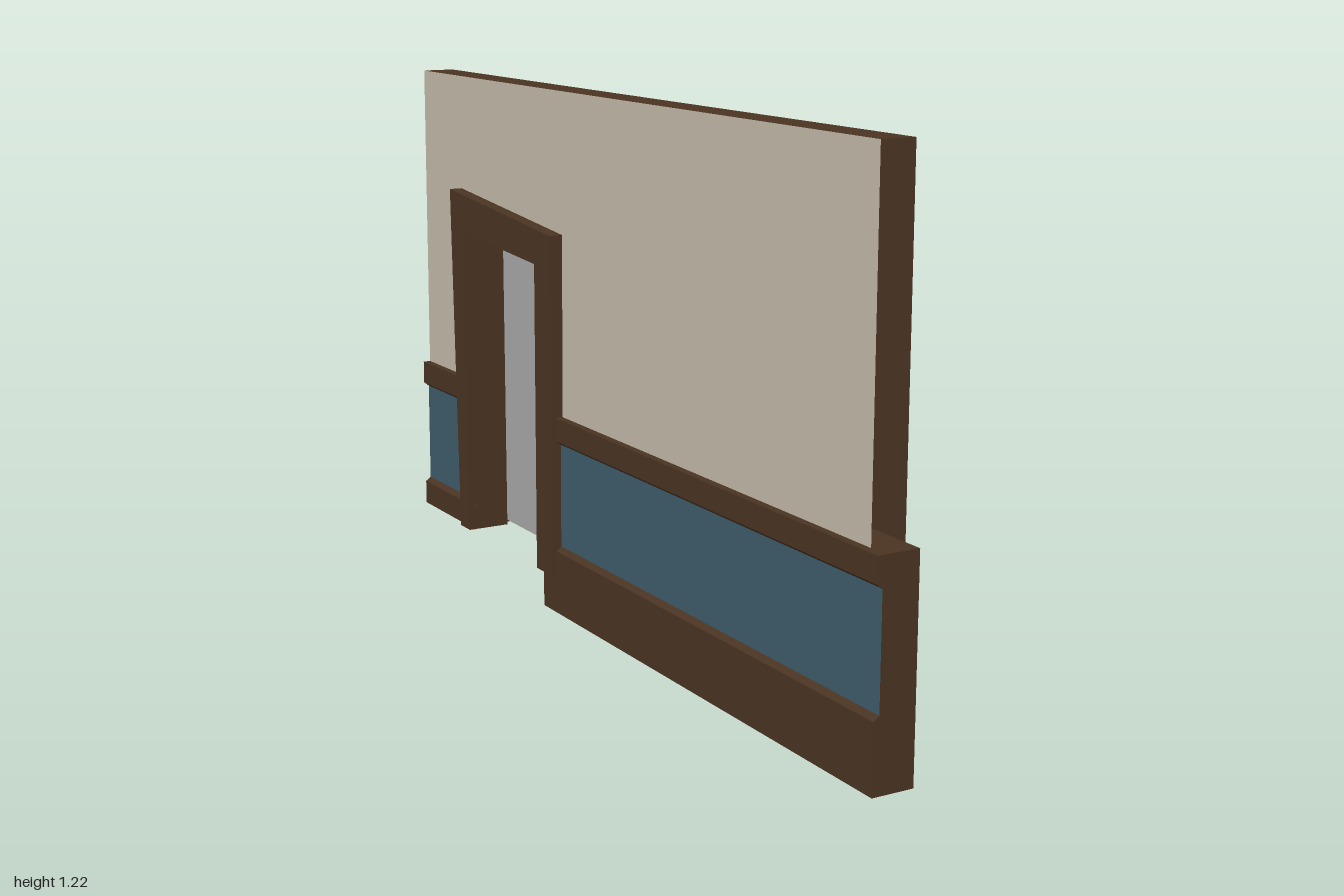
import * as THREE from 'three';

const mat = (name, color) => {
  const m = new THREE.MeshStandardMaterial({ color, side: THREE.DoubleSide });
  m.name = name;
  return m;
};

export function createModel() {
  const group = new THREE.Group();
  const wood = mat('dark brown wood', 0x4a3423);
  const plaster = mat('cream plaster', 0xc5bba9);
  const teal = mat('teal panel', 0x3e5d6b);
  const steel = mat('door grey', 0xa9a9a9);

  const add = (name, geo, material) => {
    const m = new THREE.Mesh(geo, material);
    m.name = name;
    group.add(m);
    return m;
  };
  // outlines are [z, y] pairs lying across the x axis
  const path = (pts) => pts.map(([z, y]) => new THREE.Vector2(-z, y));
  const slab = (name, pts, x0, x1, material, hole) => {
    const shape = new THREE.Shape(path(pts));
    if (hole) shape.holes.push(new THREE.Path(path(hole)));
    const geo = x1 > x0
      ? new THREE.ExtrudeGeometry(shape, { depth: x1 - x0, bevelEnabled: false })
      : new THREE.ShapeGeometry(shape);
    return add(name, geo.rotateY(Math.PI / 2).translate(x0, 0, 0), material);
  };
  // open [x, y] profile swept along z
  const sweep = (name, profile, z0, z1, material) => {
    const pos = [];
    for (let i = 0; i < profile.length - 1; i++) {
      const [ax, ay] = profile[i], [bx, by] = profile[i + 1];
      pos.push(ax, ay, z0, bx, by, z0, bx, by, z1, ax, ay, z0, bx, by, z1, ax, ay, z1);
    }
    const geo = new THREE.BufferGeometry();
    geo.setAttribute('position', new THREE.Float32BufferAttribute(pos, 3));
    geo.computeVertexNormals();
    return add(name, geo, material);
  };

  // wall faces with the doorway cut out, open at both ends
  const wallOutline = (bottom) => [
    [1, bottom], [-0.28, bottom], [-0.28, 0.875], [-0.755, 0.915], [-0.74, bottom],
    [-1, bottom], [-1, 1.22], [0.955, 1.22], [0.955, 0.47], [1, 0.47],
  ];
  slab('outerWall', wallOutline(0.092), 0.035, 0.035, wood);
  slab('innerWall', wallOutline(0.1), -0.043, -0.043, plaster);
  sweep('wallTop', [[-0.043, 1.22], [0.035, 1.22]], 0.955, -1, wood);

  // chair rail, panel and baseboard on each side of the doorway
  for (const [z0, z1, zBase, floor] of [[-0.28, 1, -0.326, 0], [-1, -0.74, -0.703, 0.092]]) {
    const front = z1 === 1;
    sweep('chairRail', [[0.035, 0.47], [-0.061, 0.47], [-0.061, 0.415], [-0.048, 0.405]], z1, z0, wood);
    sweep('wainscotPanel', [[-0.048, 0.41], [-0.048, 0.155]], z1, z0, teal);
    sweep('baseboard', [[-0.048, 0.16], [-0.061, 0.15], [-0.061, floor]],
      z1, front ? zBase : z0, wood);
    if (!front) sweep('baseboardEnd', [[-0.048, 0.16], [-0.061, 0.15], [-0.061, floor]], z1, zBase, wood);
  }

  // closed front end with the moulding profile, and its foot
  const cap = new THREE.Shape([
    [0.035, 0], [0.035, 0.47], [-0.061, 0.47], [-0.061, 0.415], [-0.048, 0.405],
    [-0.048, 0.16], [-0.061, 0.15], [-0.061, 0],
  ].map(([x, y]) => new THREE.Vector2(x, y)));
  add('endCap', new THREE.ShapeGeometry(cap).translate(0, 0, 1), wood);
  add('endFoot', new THREE.BoxGeometry(0.095, 0.092, 0.154).translate(-0.0125, 0.046, 0.922), wood);

  // slanted door frame: narrow opening inside, wider pocket outside
  const frameOuter = [[-0.262, 0.092], [-0.257, 0.895], [-0.789, 0.944], [-0.757, 0.092]];
  slab('doorFrameInner', [...frameOuter,
    [-0.705, 0.092], [-0.71, 0.845], [-0.335, 0.82], [-0.335, 0.092]], -0.075, 0.03, wood);
  slab('doorFrameOuter', [...frameOuter,
    [-0.727, 0.092], [-0.734, 0.888], [-0.302, 0.856], [-0.302, 0.092]], 0.03, 0.072, wood);

  // door leaf with raised rim
  const leaf = [[-0.302, 0.104], [-0.302, 0.852], [-0.734, 0.884], [-0.727, 0.104]];
  slab('door', leaf, 0.03, 0.037, steel);
  slab('doorRim', leaf, 0.037, 0.06, steel,
    [[-0.306, 0.108], [-0.306, 0.848], [-0.73, 0.879], [-0.723, 0.108]]);

  // looped pull handle
  slab('doorHandle',
    [[-0.625, 0.39], [-0.622, 0.46], [-0.632, 0.47], [-0.655, 0.47], [-0.66, 0.46], [-0.656, 0.39]],
    0.037, 0.05, steel,
    [[-0.633, 0.4], [-0.631, 0.458], [-0.651, 0.458], [-0.648, 0.4]]);

  return group;
}
